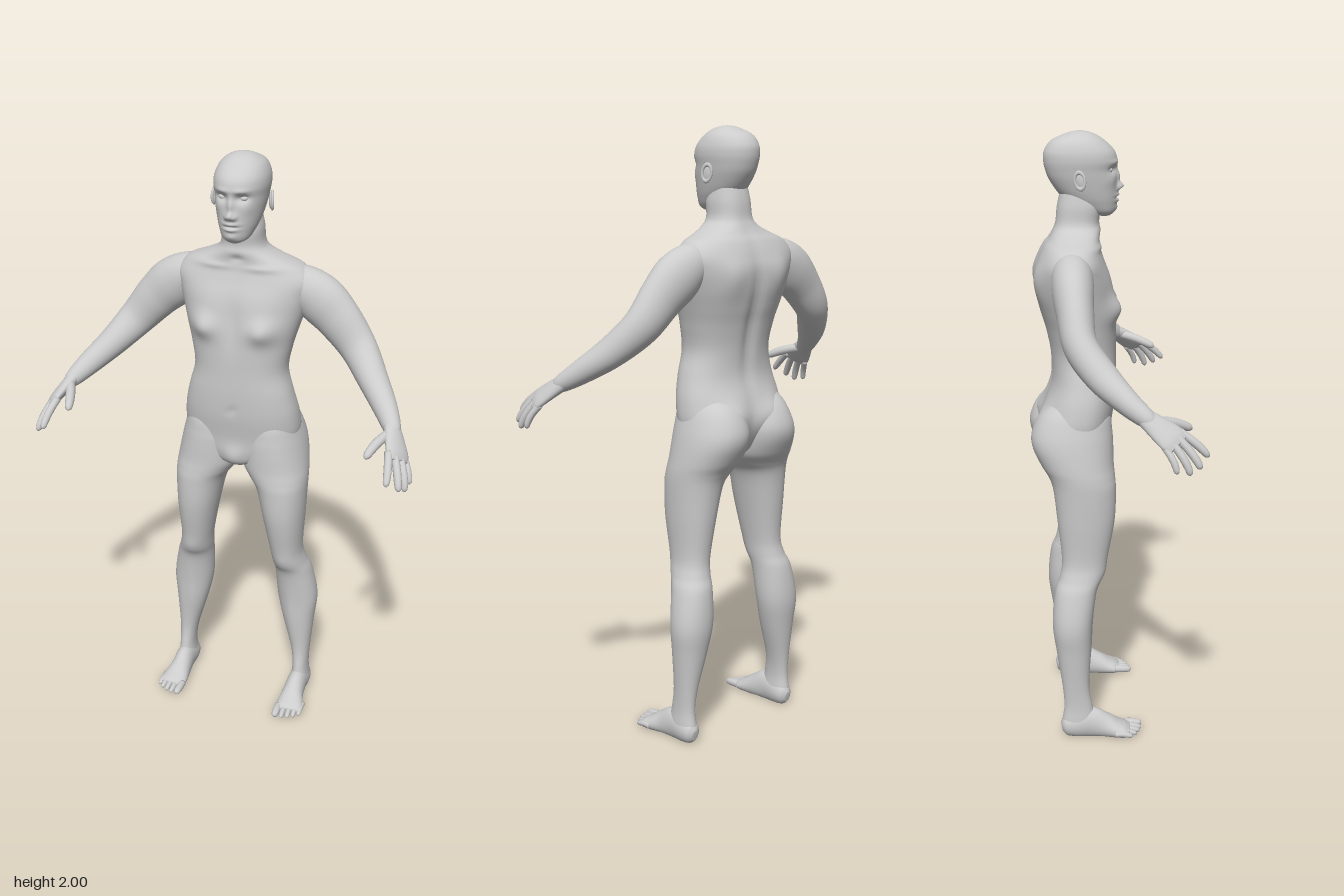
import * as THREE from 'three';

const V = (x, y, z) => new THREE.Vector3(x, y, z);
const material = new THREE.MeshStandardMaterial({ color: 0xcccccc });

// Catmull-Rom through the rows of a table, every column at once
function refine(rows, steps) {
  const out = [], last = rows.length - 1;
  for (let k = 0; k <= last * steps; k++) {
    const i = Math.min(Math.floor(k / steps), last - 1), t = k / steps - i;
    const p = rows[Math.max(i - 1, 0)], a = rows[i], b = rows[i + 1], q = rows[Math.min(i + 2, last)];
    out.push(a.map((_, c) => 0.5 * (2 * a[c] + (b[c] - p[c]) * t
      + (2 * p[c] - 5 * a[c] + 4 * b[c] - q[c]) * t * t
      + (3 * a[c] - p[c] - 3 * b[c] + q[c]) * t * t * t)));
  }
  return out;
}

// Closed smooth skin over a list of rings
function skin(rings) {
  const n = rings[0].length, m = rings.length, pts = rings.flat(), index = [];
  for (let i = 0; i < m - 1; i++) for (let j = 0; j < n; j++) {
    const a = i * n + j, b = i * n + (j + 1) % n;
    index.push(a, a + n, b, b, a + n, b + n);
  }
  const pole = ring => ring.reduce((s, p) => s.add(p), V(0, 0, 0)).divideScalar(n);
  pts.push(pole(rings[0]), pole(rings[m - 1]));
  for (let j = 0; j < n; j++) {
    const k = (j + 1) % n, e = (m - 1) * n;
    index.push(m * n, j, k, m * n + 1, e + k, e + j);
  }
  const g = new THREE.BufferGeometry().setFromPoints(pts);
  g.setIndex(index);
  g.computeVertexNormals();
  return g;
}

const bend = (v, n) => Math.sign(v) * Math.abs(v) ** (2 / n);

// Level sections, bottom to top: [y, xMin, xMax, zFront, zBack].
// Bumps: [x, y, radiusX, radiusY, height, side], side 1 = front, -1 = back
function body(rows, { n = 2, segs = 64, steps = 6, bumps = [] } = {}) {
  return skin(refine(rows, steps).map(([y, x0, x1, zf, zb]) =>
    Array.from({ length: segs }, (_, j) => {
      const a = j / segs * Math.PI * 2, s = Math.sin(a);
      const x = (x0 + x1) / 2 + (x1 - x0) / 2 * bend(Math.cos(a), n);
      let z = (zf + zb) / 2 + (zf - zb) / 2 * bend(s, n);
      for (const [bx, by, rx, ry, h, side] of bumps)
        z += side * h * Math.min(1, 2 * Math.max(0, side * s))
          * Math.exp(-(((Math.abs(x) - bx) / rx) ** 2) - ((y - by) / ry) ** 2);
      return V(x, y, z);
    })));
}

// Limb along a path: [x, y, z, radius along ref, radius across it]
function limb(rows, ref, segs = 32, steps = 6, floor = -1) {
  const d = refine(rows, steps), at = i => V(...d[Math.min(Math.max(i, 0), d.length - 1)]);
  return skin(d.map((r, i) => {
    const t = at(i + 1).sub(at(i - 1)).normalize();
    const u = ref.clone().addScaledVector(t, -ref.dot(t)).normalize();
    const v = u.clone().cross(t);
    return Array.from({ length: segs }, (_, j) => {
      const a = j / segs * Math.PI * 2;
      const p = V(r[0], r[1], r[2]).addScaledVector(u, r[3] * Math.cos(a)).addScaledVector(v, r[4] * Math.sin(a));
      p.y = Math.max(p.y, floor);
      return p;
    });
  }));
}

// Slim tapered digit through three points
function digit(a, b, c, r, ref) {
  const curve = new THREE.QuadraticBezierCurve3(V(...a), V(...b).multiplyScalar(2)
    .sub(V(...a).add(V(...c)).multiplyScalar(0.5)), V(...c));
  const rows = [[0, 1], [0.25, 1], [0.5, 1], [0.75, 0.92], [0.92, 0.72], [1, 0.2]]
    .map(([t, k]) => [...curve.getPoint(t).toArray(), r * k, r * k]);
  return limb(rows, ref, 14, 3);
}

function mirrored(g) {
  const m = g.clone().scale(-1, 1, 1), ix = m.index.array;
  for (let i = 0; i < ix.length; i += 3) [ix[i], ix[i + 1]] = [ix[i + 1], ix[i]];
  return m;
}

export function createModel() {
  const model = new THREE.Group();
  model.name = 'humanFigure';
  const add = (name, g) => {
    const mesh = new THREE.Mesh(g, material);
    mesh.name = name;
    model.add(mesh);
  };
  const pair = (name, g) => { add('left' + name, g); add('right' + name, mirrored(g)); };
  const centred = rows => rows.map(([y, w, f, b]) => [y, -w, w, f, b]);

  // Torso and neck
  add('torso', body(centred([
    [0.935, 0.02, -0.06, -0.12], [0.96, 0.075, -0.01, -0.17], [1.0, 0.15, 0.003, -0.2],
    [1.06, 0.195, 0.008, -0.22], [1.14, 0.195, 0.02, -0.207], [1.22, 0.177, 0.025, -0.187],
    [1.3, 0.157, 0.025, -0.19], [1.38, 0.169, 0.025, -0.205], [1.44, 0.185, 0.022, -0.222],
    [1.5, 0.203, 0.012, -0.235], [1.56, 0.22, 0.0, -0.238], [1.605, 0.228, -0.015, -0.226],
    [1.645, 0.195, -0.027, -0.208], [1.67, 0.138, -0.027, -0.19], [1.695, 0.088, -0.024, -0.177],
    [1.72, 0.07, -0.028, -0.168], [1.77, 0.066, -0.025, -0.162], [1.82, 0.055, -0.05, -0.15],
  ]), {
    n: 2.3, segs: 96, bumps: [
      [0.1, 1.455, 0.045, 0.04, 0.027, 1], [0.09, 1.53, 0.07, 0.05, 0.006, 1], // chest
      [0, 1.46, 0.022, 0.08, -0.008, 1], [0, 1.17, 0.012, 0.012, -0.006, 1], // breastbone, navel
      [0, 0.99, 0.03, 0.035, 0.012, 1], // groin
      [0, 1.675, 0.02, 0.012, -0.006, 1], [0.08, 1.648, 0.06, 0.01, 0.006, 1], // collar
      [0, 1.4, 0.025, 0.2, -0.014, -1], [0.1, 1.54, 0.045, 0.06, 0.01, -1], // spine, shoulder blades
      [0.09, 1.09, 0.06, 0.05, 0.025, -1], // upper buttocks
    ],
  }));

  // Head with sculpted face
  add('head', body(centred([
    [1.737, 0.018, 0.005, -0.03], [1.75, 0.042, 0.02, -0.075], [1.78, 0.058, 0.027, -0.125],
    [1.81, 0.068, 0.029, -0.158], [1.85, 0.077, 0.028, -0.185], [1.88, 0.082, 0.027, -0.197],
    [1.91, 0.086, 0.03, -0.203], [1.94, 0.083, 0.02, -0.2], [1.97, 0.069, -0.01, -0.178],
    [1.99, 0.043, -0.042, -0.135], [1.998, 0.02, -0.068, -0.108], [2.0, 0.004, -0.084, -0.092],
  ]), {
    n: 2.1, segs: 128, steps: 9, bumps: [
      [0.033, 1.882, 0.019, 0.012, -0.013, 1], [0.03, 1.905, 0.025, 0.008, 0.004, 1], // sockets, brow
      [0, 1.86, 0.01, 0.024, 0.011, 1], [0, 1.829, 0.012, 0.012, 0.02, 1], // nose
      [0.014, 1.824, 0.007, 0.008, 0.008, 1], [0.05, 1.85, 0.02, 0.02, 0.004, 1], // nostrils, cheeks
      [0, 1.803, 0.022, 0.006, 0.008, 1], [0, 1.785, 0.02, 0.006, 0.008, 1], // lips
      [0, 1.794, 0.022, 0.003, -0.005, 1], [0, 1.762, 0.02, 0.012, 0.006, 1], // mouth, chin
    ],
  }));
  pair('Eye', new THREE.SphereGeometry(0.014, 20, 14).scale(1.1, 0.75, 1).translate(0.033, 1.881, -0.002));

  // Ears: bowl and rim
  const place = g => g.rotateX(-0.15).rotateY(0.35).translate(0.089, 1.855, -0.092);
  pair('Ear', place(new THREE.SphereGeometry(1, 20, 14).scale(0.006, 0.026, 0.015)));
  pair('EarRim', place(new THREE.TorusGeometry(0.017, 0.0045, 10, 28).rotateY(Math.PI / 2)
    .scale(1, 1.5, 0.95).translate(0.005, 0, 0)));

  // Legs, from ankle to buttock
  pair('Leg', body([
    [0.015, 0.197, 0.247, -0.08, -0.166], [0.05, 0.191, 0.254, -0.06, -0.173], [0.11, 0.195, 0.25, -0.07, -0.165],
    [0.185, 0.185, 0.252, -0.08, -0.17], [0.31, 0.15, 0.262, -0.073, -0.188], [0.41, 0.128, 0.27, -0.068, -0.2],
    [0.52, 0.122, 0.25, -0.052, -0.19], [0.57, 0.117, 0.232, -0.032, -0.173], [0.63, 0.11, 0.221, -0.015, -0.165],
    [0.76, 0.085, 0.228, 0.01, -0.178], [0.865, 0.06, 0.232, 0.015, -0.19], [0.91, 0.03, 0.232, 0.013, -0.205],
    [0.95, 0.004, 0.228, 0.01, -0.23], [1.01, -0.004, 0.218, 0.009, -0.256], [1.06, -0.002, 0.206, 0.006, -0.254],
    [1.12, 0.015, 0.185, -0.005, -0.222], [1.17, 0.06, 0.15, -0.05, -0.16],
  ], { n: 2.15, bumps: [[0.17, 0.58, 0.035, 0.035, 0.006, 1], [0.19, 0.36, 0.02, 0.1, 0.004, 1]] }));

  // Feet, flat underneath, and toes
  const X = V(1, 0, 0);
  pair('Foot', limb([
    [0.222, 0.03, -0.174, 0.012, 0.018], [0.222, 0.033, -0.16, 0.028, 0.036], [0.222, 0.04, -0.13, 0.034, 0.048],
    [0.222, 0.045, -0.08, 0.034, 0.055], [0.222, 0.032, -0.03, 0.038, 0.044], [0.225, 0.021, 0.01, 0.046, 0.031],
    [0.228, 0.015, 0.04, 0.049, 0.022], [0.23, 0.013, 0.058, 0.042, 0.013],
  ], X, 40, 6, 0));
  for (let i = 0; i < 5; i++) {
    const x = [0.19, 0.213, 0.233, 0.252, 0.269][i], tip = [0.101, 0.098, 0.091, 0.08, 0.064][i];
    const r = i ? 0.0095 : 0.0135;
    pair('Toe' + (i + 1), digit([x, 0.018, tip - 0.06], [x, 0.017, tip - 0.03], [x + 0.002, r, tip], r, X));
  }

  // Arms, shoulder to wrist
  pair('Arm', limb([
    [0.13, 1.595, -0.125, 0.045, 0.045], [0.19, 1.58, -0.125, 0.062, 0.068], [0.25, 1.54, -0.125, 0.064, 0.082],
    [0.31, 1.485, -0.122, 0.057, 0.075], [0.382, 1.402, -0.11, 0.052, 0.062], [0.45, 1.325, -0.05, 0.05, 0.049],
    [0.51, 1.265, 0.018, 0.038, 0.039], [0.545, 1.228, 0.068, 0.029, 0.029], [0.556, 1.215, 0.088, 0.02, 0.02],
  ], V(0, 0, 1), 40, 8));

  // Hands: palm, four fingers and thumb
  const across = V(0.045, -0.035, -0.06).normalize();
  pair('Palm', limb([
    [0.535, 1.24, 0.05, 0.024, 0.022], [0.55, 1.222, 0.077, 0.032, 0.022], [0.57, 1.195, 0.115, 0.042, 0.019],
    [0.584, 1.174, 0.143, 0.046, 0.016], [0.593, 1.16, 0.16, 0.038, 0.009],
  ], across, 28));
  const digits = {
    IndexFinger: [[0.56, 1.19, 0.165], [0.572, 1.152, 0.216], [0.576, 1.115, 0.25], 0.0125],
    MiddleFinger: [[0.578, 1.18, 0.155], [0.6, 1.13, 0.2], [0.61, 1.09, 0.222], 0.0125],
    RingFinger: [[0.592, 1.168, 0.138], [0.615, 1.117, 0.175], [0.622, 1.076, 0.19], 0.012],
    LittleFinger: [[0.6, 1.158, 0.116], [0.621, 1.117, 0.142], [0.628, 1.083, 0.15], 0.0105],
    Thumb: [[0.546, 1.218, 0.092], [0.517, 1.203, 0.155], [0.5, 1.178, 0.21], 0.0155],
  };
  for (const [name, [a, b, c, r]] of Object.entries(digits)) pair(name, digit(a, b, c, r, across));

  return model;
}
